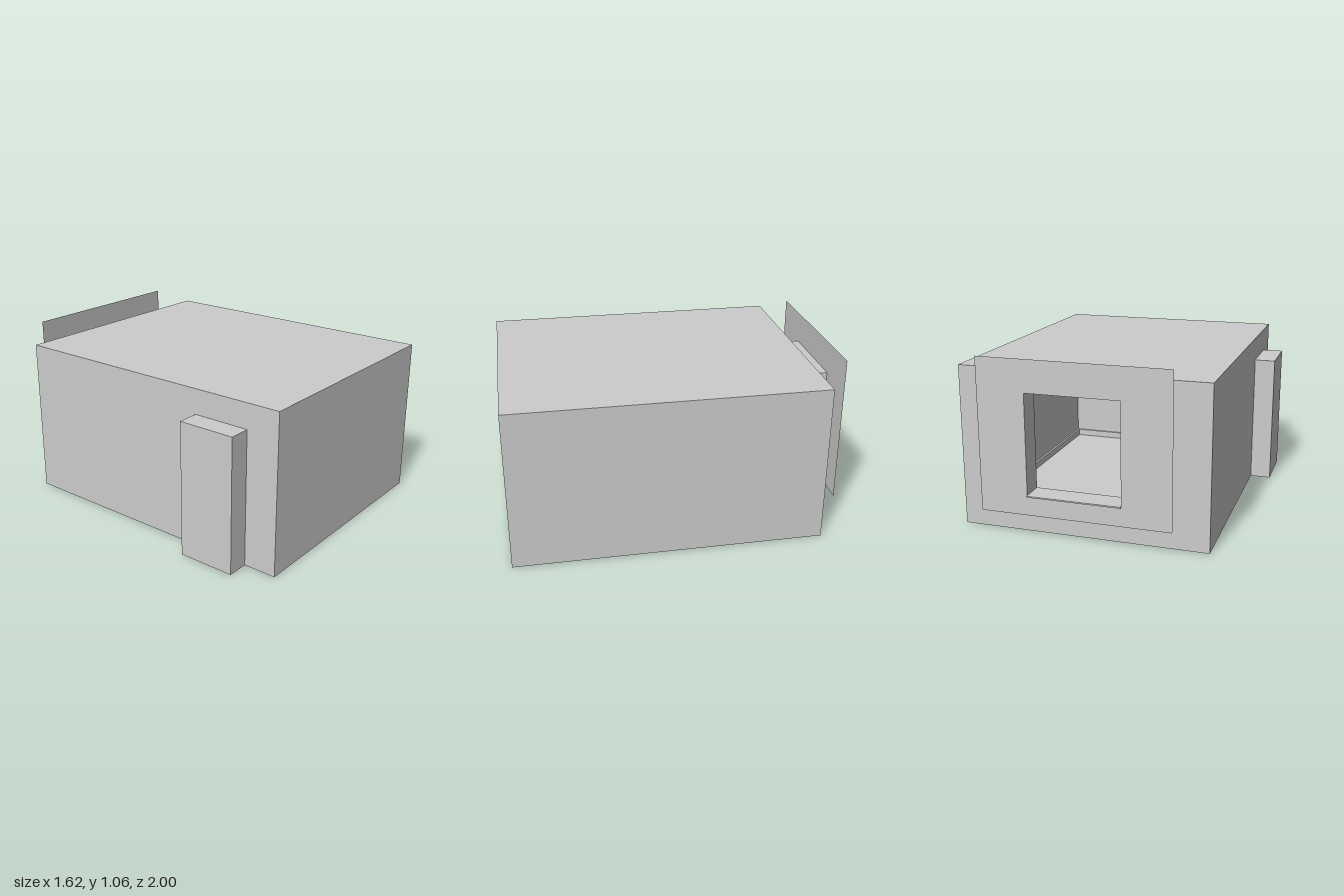
import * as THREE from 'three';

// Room shell bounds, window opening and door niche
const X0 = -0.68, X1 = 0.81, H = 0.97, Z0 = -0.855, Z1 = 1;
const WIN = { x0: -0.21, x1: 0.345, y0: 0.267, y1: 0.87, z: -0.99 };
const DOOR = { z0: 0.45, z1: 0.8, y1: 0.82, x: -0.81 };

export function createModel() {
  const group = new THREE.Group();
  const plaster = new THREE.MeshStandardMaterial({ color: 0xcccccc, side: THREE.DoubleSide });
  plaster.name = 'plaster grey';

  const add = (name, geometry) => {
    const mesh = new THREE.Mesh(geometry, plaster);
    mesh.name = name;
    group.add(mesh);
    return mesh;
  };

  const trace = (path, x0, y0, x1, y1) =>
    path.moveTo(x0, y0).lineTo(x1, y0).lineTo(x1, y1).lineTo(x0, y1).closePath();

  // Flat sheet, optionally with a rectangular hole
  const sheet = (rect, hole) => {
    const shape = trace(new THREE.Shape(), ...rect);
    if (hole) shape.holes.push(trace(new THREE.Path(), ...hole));
    return new THREE.ShapeGeometry(shape);
  };
  // Sheets facing along z (x, y), x (z, y) and y (x, z)
  const sheetZ = (name, z, rect, hole) => add(name, sheet(rect, hole).translate(0, 0, z));
  const sheetX = (name, x, rect, hole) => add(name, sheet(rect, hole).rotateY(-Math.PI / 2).translate(x, 0, 0));
  const sheetY = (name, y, rect) => add(name, sheet(rect).rotateX(Math.PI / 2).translate(0, y, 0));
  const block = (name, x0, x1, y0, y1, z0, z1) =>
    add(name, new THREE.BoxGeometry(x1 - x0, y1 - y0, z1 - z0)
      .translate((x0 + x1) / 2, (y0 + y1) / 2, (z0 + z1) / 2));

  const winHole = [WIN.x0, WIN.y0, WIN.x1, WIN.y1];

  // Room shell
  sheetY('floor', 0, [X0, Z0, X1, Z1]);
  sheetY('ceiling', H, [X0, Z0, X1, Z1]);
  sheetZ('frontWall', Z1, [X0, 0, X1, H]);
  sheetZ('backWall', Z0, [X0, 0, X1, H], winHole);
  sheetX('leftWall', X1, [Z0, 0, Z1, H]);
  add('rightWall', new THREE.ShapeGeometry(new THREE.Shape([
    [Z0, 0], [DOOR.z0, 0], [DOOR.z0, DOOR.y1], [DOOR.z1, DOOR.y1],
    [DOOR.z1, 0], [Z1, 0], [Z1, H], [Z0, H],
  ].map(([z, y]) => new THREE.Vector2(z, y)))).rotateY(-Math.PI / 2).translate(X0, 0, 0));

  // Window reveal, sill and outer surround
  for (const x of [WIN.x0, WIN.x1]) sheetX('windowJamb', x, [WIN.z, WIN.y0, Z0, WIN.y1]);
  sheetY('windowHead', WIN.y1, [WIN.x0, WIN.z, WIN.x1, Z0]);
  block('windowSill', WIN.x0, WIN.x1, WIN.y0, WIN.y0 + 0.008, -1, Z0);
  sheetZ('windowSurround', WIN.z, [-0.5, 0.156, 0.63, 1.06], winHole);

  // Door niche, open to the room
  for (const z of [DOOR.z0, DOOR.z1]) sheetZ('doorJamb', z, [DOOR.x, 0, X0, DOOR.y1]);
  sheetY('doorHead', DOOR.y1, [DOOR.x, DOOR.z0, X0, DOOR.z1]);
  sheetY('doorThreshold', 0, [DOOR.x, DOOR.z0, X0, DOOR.z1]);
  sheetX('doorPanel', DOOR.x, [DOOR.z0, 0, DOOR.z1, DOOR.y1]);

  // Skirting boards along the inner walls
  const h = 0.045, t = 0.015;
  block('skirtingLeft', X1 - t, X1 - 0.001, 0.001, h, Z0 + t, Z1 - t);
  block('skirtingBack', X0 + 0.001, X1 - 0.001, 0.001, h, Z0 + 0.001, Z0 + t);
  block('skirtingFront', X0 + 0.001, X1 - 0.001, 0.001, h, Z1 - t, Z1 - 0.001);
  for (const [a, b] of [[Z0 + t, DOOR.z0], [DOOR.z1, Z1 - t]])
    block('skirtingRight', X0 + 0.001, X0 + t, 0.001, h, a, b);

  return group;
}
